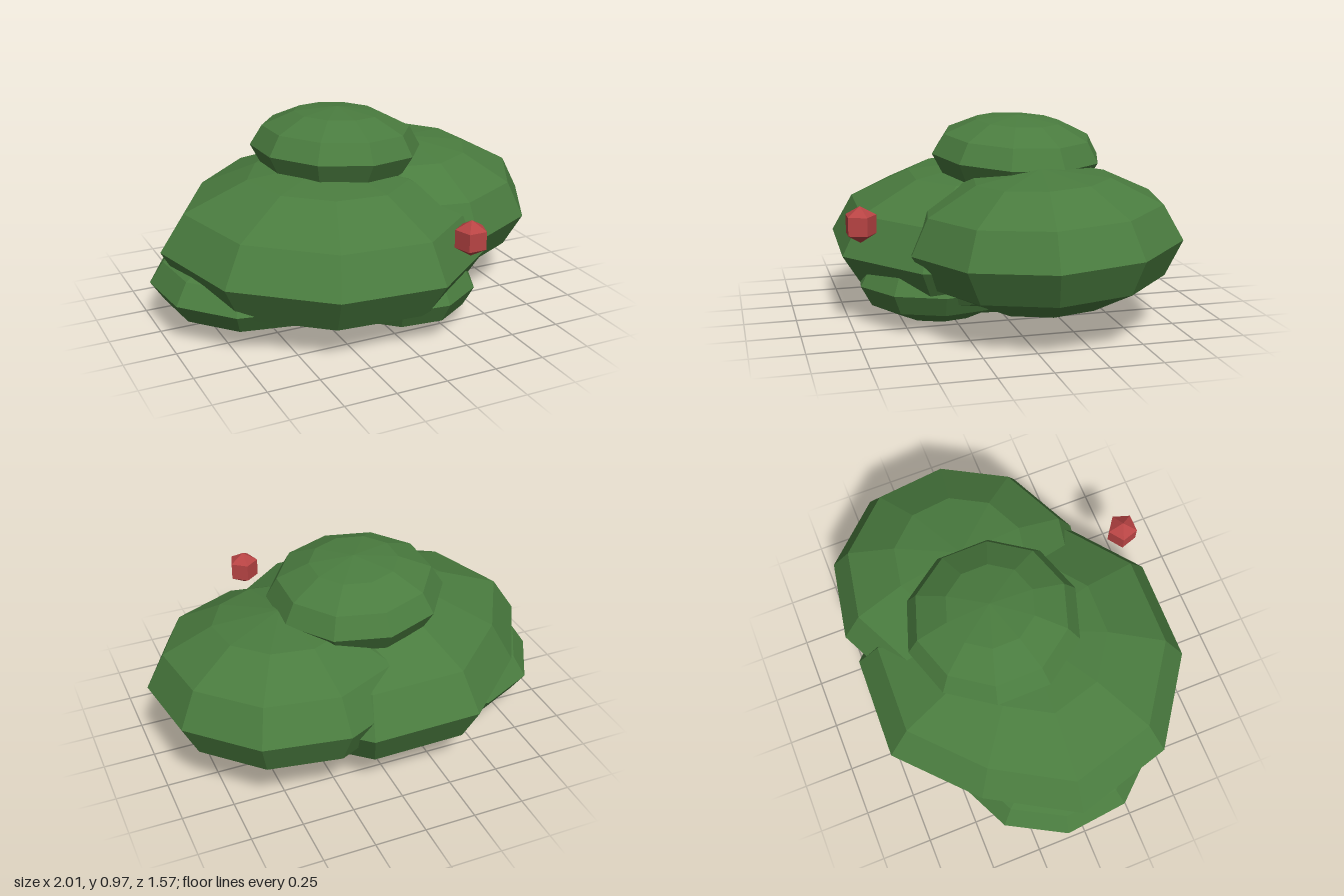
import * as THREE from 'three';

export function createModel() {
  const group = new THREE.Group();
  group.name = 'berryBush';

  const leafGreen = new THREE.MeshStandardMaterial({ color: 0x4a7c3f, flatShading: true });
  leafGreen.name = 'leafGreen';
  const berryRed = new THREE.MeshStandardMaterial({ color: 0xb84444, flatShading: true });
  berryRed.name = 'berryRed';

  // Faceted ball, squashed, turned about y (yaw), then leaned slightly about x and z
  function ball(name, material, geometry, position, scale, yaw, leanX = 0, leanZ = 0) {
    const mesh = new THREE.Mesh(geometry, material);
    mesh.name = name;
    mesh.position.set(...position);
    mesh.scale.set(...scale);
    mesh.rotation.set(leanX, yaw, leanZ, 'XZY');
    group.add(mesh);
  }

  const clump = new THREE.SphereGeometry(1, 10, 6);
  const berry = new THREE.SphereGeometry(1, 5, 3);

  // Uneven clump: each of the ten sides is drawn in by its own factor,
  // starting at -x and running round by the front
  const sideReach = [1.01, 1.02, 1, 1, 0.95, 0.88, 0.92, 1, 1, 0.9];
  const unevenClump = clump.clone();
  const points = unevenClump.attributes.position;
  for (let i = 0; i < points.count; i++) {
    const reach = sideReach[(i % 11) % 10];
    points.setX(i, points.getX(i) * reach);
    points.setZ(i, points.getZ(i) * reach);
  }
  unevenClump.computeVertexNormals();

  // Overlapping foliage clumps
  ball('mainClump', leafGreen, unevenClump, [-0.125, 0.37, 0], [0.84, 0.367, 0.815], -0.025, 0.03, -0.032);
  ball('leftClump', leafGreen, clump, [0.36, 0.433, -0.14], [0.65, 0.335, 0.655], -0.18, 0.045, 0);
  ball('topClump', leafGreen, clump, [-0.025, 0.777, -0.11], [0.425, 0.195, 0.425], -0.314, -0.035, -0.055);
  ball('lowRightClump', leafGreen, clump, [-0.52, 0.22, -0.005], [0.5, 0.2, 0.515], -0.2);
  ball('lowFrontClump', leafGreen, clump, [0.1, 0.203, 0.315], [0.38, 0.195, 0.4], -0.1);

  // Single berry on the front
  ball('berry', berryRed, berry, [0.272, 0.527, 0.713], [0.087, 0.087, 0.087], -Math.PI / 10);

  return group;
}
